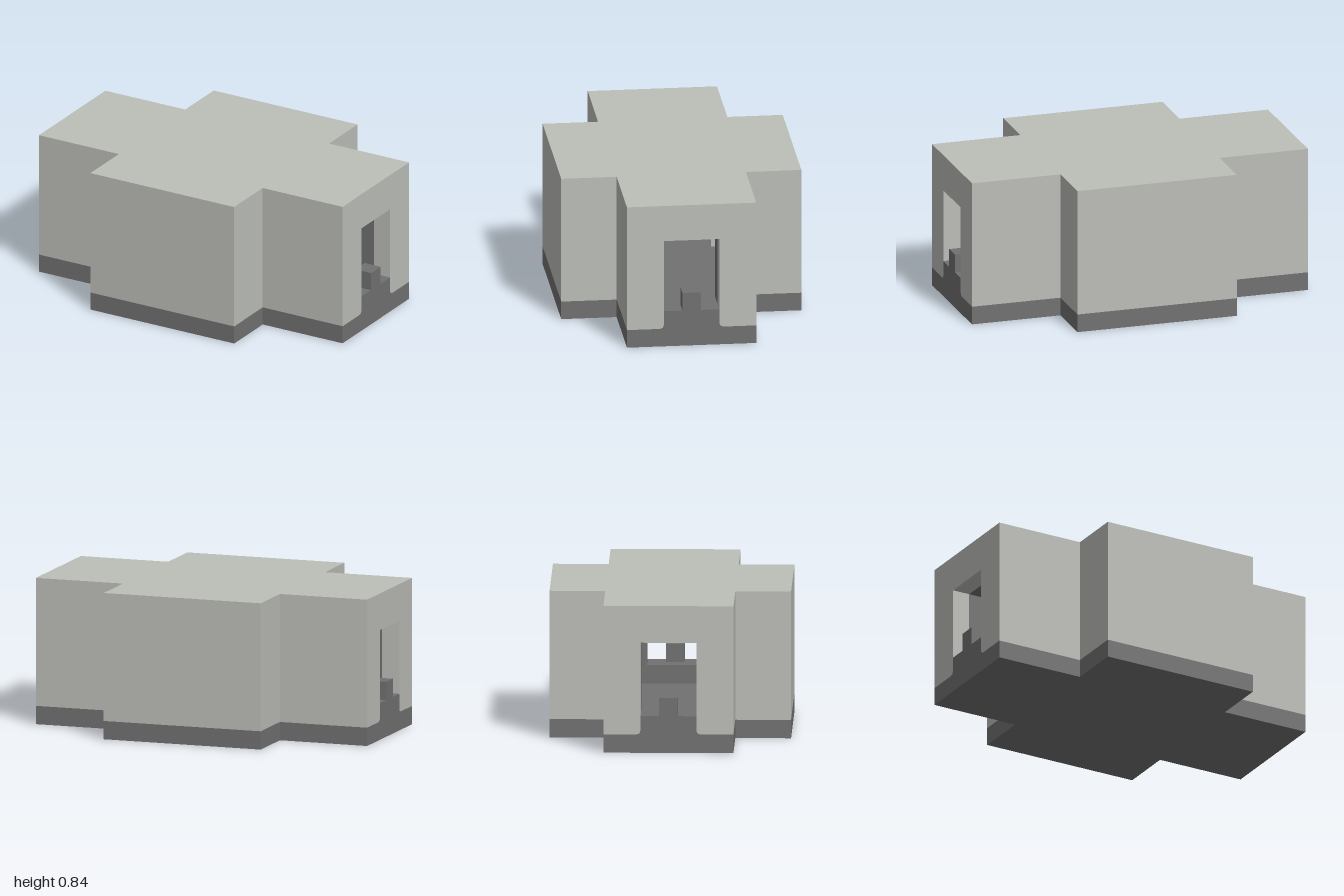
import * as THREE from 'three';

// One building block; the model is 19 x 8 x 13 blocks
const M = 2 / 19;

const lightStone = new THREE.MeshStandardMaterial({ color: 0xbcbeb8 });
const darkStone = new THREE.MeshStandardMaterial({ color: 0x717171 });

function extrude(points, depth) {
  const shape = new THREE.Shape(points.map(([a, b]) => new THREE.Vector2(a * M, b * M)));
  return new THREE.ExtrudeGeometry(shape, { depth: depth * M, bevelEnabled: false });
}

// Floor plan in blocks, raised from y0 to y1
function plan(name, points, y0, y1, material) {
  const geometry = extrude(points, y1 - y0).rotateX(-Math.PI / 2).translate(0, y0 * M, 0);
  const mesh = new THREE.Mesh(geometry, material);
  mesh.name = name;
  return mesh;
}

// Profile across the building (z, y) in blocks, running from x0 to x1
function crossWall(name, points, x0, x1, material) {
  const geometry = extrude(points, x1 - x0).rotateY(Math.PI / 2).translate(x0 * M, 0, 0);
  const mesh = new THREE.Mesh(geometry, material);
  mesh.name = name;
  return mesh;
}

const mirrorProfile = (half) => [...half, ...half.map(([a, b]) => [-a, b]).reverse()];

const crossPlan = [
  [-9.5, -3.5], [-4.5, -3.5], [-4.5, -6.5], [4.5, -6.5], [4.5, -3.5], [9.5, -3.5],
  [9.5, 3.5], [4.5, 3.5], [4.5, 6.5], [-4.5, 6.5], [-4.5, 3.5], [-9.5, 3.5],
];

const sideWallPlan = mirrorProfile([
  [8.5, -2.5], [8.5, -3.5], [4.5, -3.5], [4.5, -6.5],
]).concat(mirrorProfile([[-8.5, -2.5], [-3.5, -2.5], [-3.5, -5.5]]));

// Small curve where the dark sill meets the base band
const sillCurve = [[1.72, 1], [1.56, 1.06], [1.5, 1.22]];

function createEnd() {
  const end = new THREE.Group();

  // Outer wall with the doorway notch
  end.add(crossWall('endWall', mirrorProfile([
    [3.5, 7], [3.5, 1], ...sillCurve, [1.5, 6],
  ]), 8.5, 9.5, lightStone));

  // Raised dark sill in the doorway
  end.add(crossWall('doorSill', mirrorProfile([...sillCurve, [1.5, 2]]), 8.5, 9.5, darkStone));

  // Dark inner frame behind the doorway
  end.add(crossWall('innerDoorFrame', mirrorProfile([
    [2.5, 7], [2.5, 1], [1.5, 1], [1.5, 6],
  ]), 7.5, 8.5, darkStone));
  end.add(crossWall('innerSill', mirrorProfile([[1.5, 1], [1.5, 2]]), 7.5, 8.5, darkStone));

  // Single block standing on the sill
  const block = new THREE.Mesh(new THREE.BoxGeometry(M, M, M), darkStone);
  block.name = 'doorBlock';
  block.position.set(9 * M, 2.5 * M, 0);
  end.add(block);
  return end;
}

export function createModel() {
  const model = new THREE.Group();
  model.name = 'crossShapedBuilding';

  // Base slab and roof slab
  model.add(plan('base', crossPlan, 0, 1, darkStone));
  model.add(plan('roof', crossPlan, 7, 8, lightStone));

  // Front and back walls, and the two ends with doorways
  for (const [side, endName, turn] of [['backWall', 'leftEnd', 0], ['frontWall', 'rightEnd', Math.PI]]) {
    const wall = plan(side, sideWallPlan.map(([x, y]) => [x, -y]), 1, 7, lightStone);
    wall.rotation.y = turn;
    model.add(wall);

    const end = createEnd();
    end.name = endName;
    end.rotation.y = turn;
    model.add(end);
  }
  return model;
}
